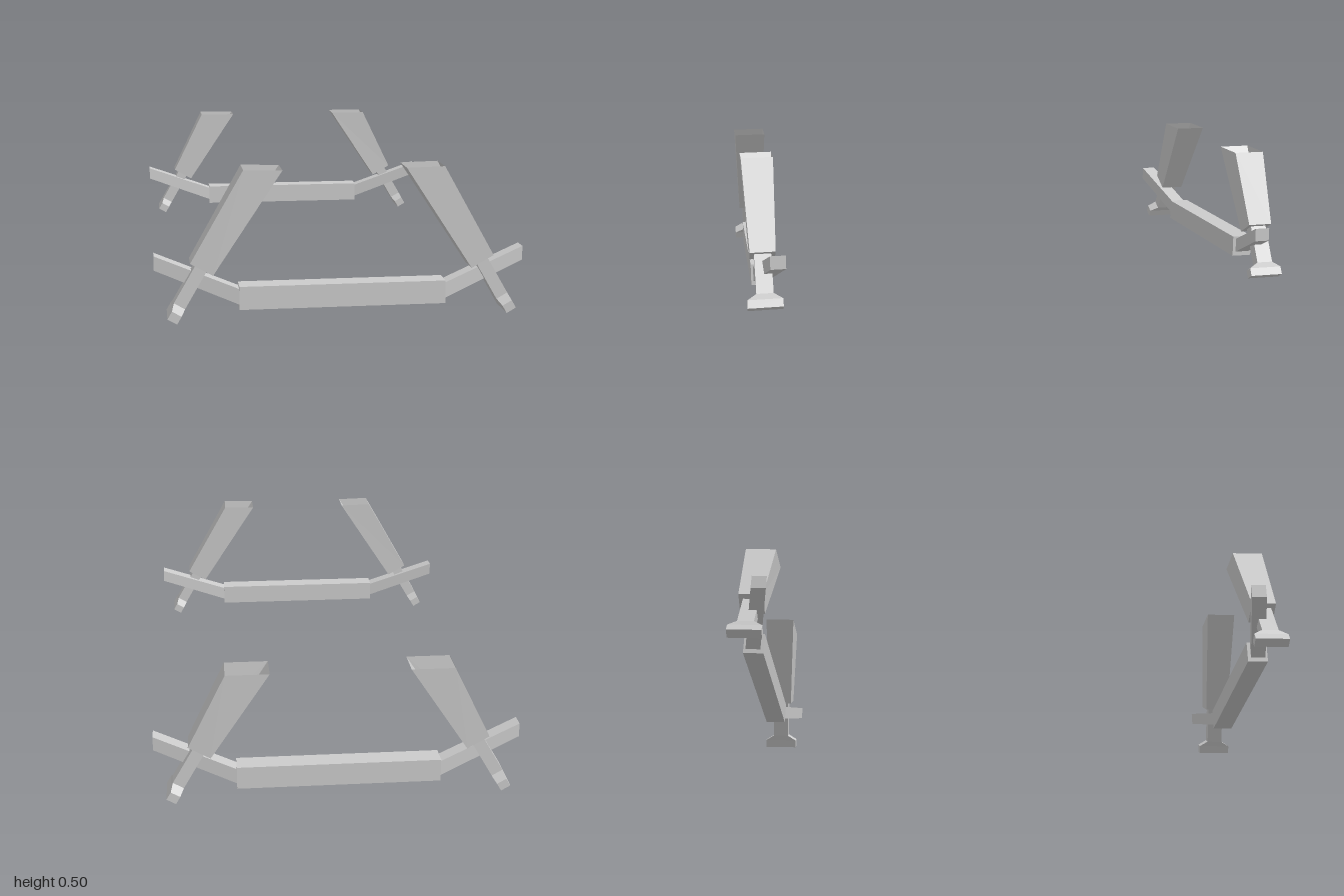
import * as THREE from 'three';

const solid = new THREE.MeshStandardMaterial({ color: 0xcccccc, flatShading: true });
const open = new THREE.MeshStandardMaterial({ color: 0xcccccc, flatShading: true, side: THREE.DoubleSide });

// Four-sided loft through sections { a:[x,y], b:[x,y], z:[back,front] },
// mirrored by sx and sz; the far end can be left open
function loft(name, sections, sx, sz, openEnd = false) {
  const pos = [], index = [];
  for (const { a, b, z } of sections) {
    for (const [p, d] of [[a, z[0]], [a, z[1]], [b, z[1]], [b, z[0]]]) {
      pos.push(p[0] * sx, p[1], d * sz);
    }
  }
  const tri = (i, j, k) => (sx * sz > 0 ? index.push(i, j, k) : index.push(i, k, j));
  for (let s = 0; s < sections.length - 1; s++) {
    for (let e = 0; e < 4; e++) {
      const i = s * 4 + e, j = s * 4 + (e + 1) % 4;
      tri(i, i + 4, j);
      tri(j, i + 4, j + 4);
    }
  }
  tri(0, 1, 2);
  tri(0, 2, 3);
  if (!openEnd) {
    const t = (sections.length - 1) * 4;
    tri(t, t + 2, t + 1);
    tri(t, t + 3, t + 2);
  }
  const indexed = new THREE.BufferGeometry();
  indexed.setAttribute('position', new THREE.Float32BufferAttribute(pos, 3));
  indexed.setIndex(index);
  const geo = indexed.toNonIndexed();
  geo.computeVertexNormals();
  const mesh = new THREE.Mesh(geo, openEnd ? open : solid);
  mesh.name = name;
  return mesh;
}

const MID_Z = 0.938;

// Section across the leaning rod: t along it from the foot, half width w, half depth d
function across(t, w, d) {
  const x = 0.566 - 0.5 * t, y = 0.011 + 0.866 * t;
  return {
    a: [x + 0.866 * w, y + 0.5 * w],
    b: [x - 0.866 * w, y - 0.5 * w],
    z: [MID_Z - d, MID_Z + d],
  };
}

function createAxle(name, sz, sleeveTop) {
  const axle = new THREE.Group();
  axle.name = name;

  // Straight centre beam
  const beam = new THREE.Mesh(new THREE.BoxGeometry(0.69, 0.078, 0.075), solid);
  beam.name = 'beam';
  beam.position.set(0, 0.076, sz * MID_Z);
  axle.add(beam);

  for (const sx of [1, -1]) {
    const side = sx > 0 ? 'left' : 'right';

    // Arm rising outward and swept toward the middle
    axle.add(loft(side + 'Arm', [
      { a: [0.342, 0.052], b: [0.342, 0.105], z: [0.913, 0.968] },
      { a: [0.622, 0.165], b: [0.622, 0.213], z: [0.866, 0.92] },
    ], sx, sz));

    // Foot block with a sloped shoulder
    axle.add(loft(side + 'Foot', [
      across(0, 0.018, 0.062), across(0.03, 0.018, 0.062), across(0.05, 0.021, 0.03),
    ], sx, sz));

    // Rod between foot and sleeve
    axle.add(loft(side + 'Rod', [across(0.05, 0.021, 0.03), across(0.2, 0.021, 0.03)], sx, sz));

    // Widening sleeve, open at the top
    axle.add(loft(side + 'Sleeve', [
      { a: [0.505, 0.199], b: [0.431, 0.157], z: [MID_Z - 0.045, MID_Z + 0.045] },
      { ...sleeveTop, z: [MID_Z - 0.057, MID_Z + 0.057] },
    ], sx, sz, true));
  }
  return axle;
}

export function createModel() {
  const model = new THREE.Group();
  model.name = 'axlePair';
  model.add(createAxle('frontAxle', 1, { a: [0.331, 0.505], b: [0.204, 0.502] }));
  model.add(createAxle('rearAxle', -1, { a: [0.378, 0.457], b: [0.232, 0.457] }));
  return model;
}
